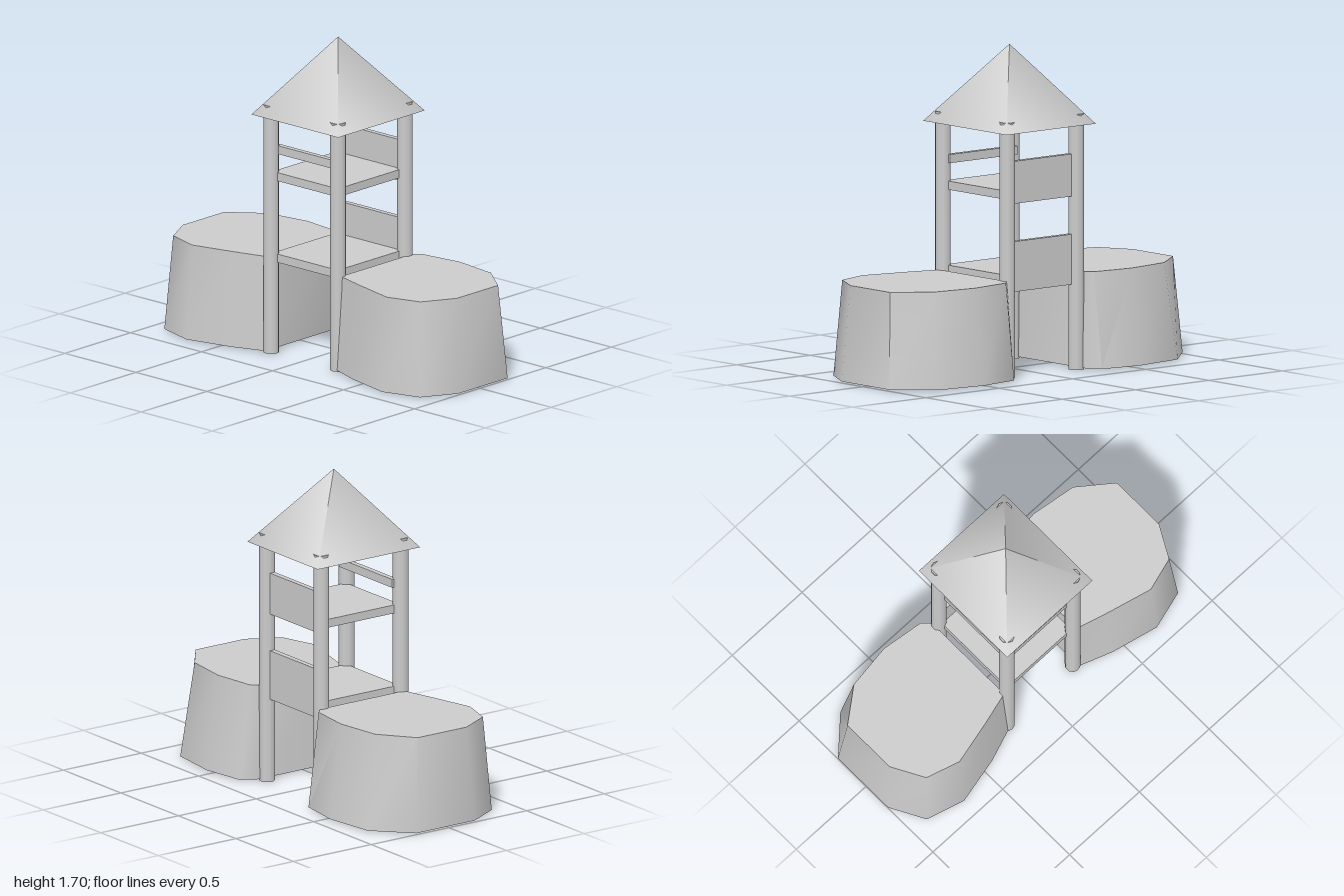
import * as THREE from 'three';
import { toCreasedNormals } from 'three/addons/utils/BufferGeometryUtils.js';

const grey = new THREE.MeshStandardMaterial({ color: 0xcccccc });
const greyThin = new THREE.MeshStandardMaterial({ color: 0xcccccc, side: THREE.DoubleSide });

// Mound outline, from the front inner corner round to the back: [bottom x, z, top x, z]
const MOUND = [
  [0.25, 0.285, 0.26, 0.26], [0.43, 0.35, 0.44, 0.31], [0.69, 0.41, 0.685, 0.37],
  [0.9, 0.35, 0.87, 0.315], [1, 0.165, 0.965, 0.14], [1, -0.21, 0.965, -0.175],
  [0.815, -0.385, 0.785, -0.315], [0.535, -0.42, 0.535, -0.35],
  [0.3, -0.385, 0.3, -0.32], [0.25, -0.3, 0.26, -0.28],
];

// Tapered mound with a flat top and an open underside
function moundGeometry(side) {
  const ring = side > 0 ? MOUND : [...MOUND].reverse();
  const n = ring.length;
  const positions = [];
  const index = [];
  for (const [bx, bz, tx, tz] of ring) {
    positions.push(side * bx, 0.008, bz, side * tx, 0.51, tz);
  }
  positions.push(side * 0.62, 0.51, 0);
  for (let i = 0; i < n; i++) {
    const a = 2 * i;
    const b = 2 * ((i + 1) % n);
    index.push(a, b, b + 1, a, b + 1, a + 1, 2 * n, a + 1, b + 1);
  }
  const geometry = new THREE.BufferGeometry();
  geometry.setAttribute('position', new THREE.Float32BufferAttribute(positions, 3));
  geometry.setIndex(index);
  return toCreasedNormals(geometry, 0.9);
}

export function createModel() {
  const group = new THREE.Group();
  const add = (name, geometry, material = grey) => {
    const mesh = new THREE.Mesh(geometry, material);
    mesh.name = name;
    group.add(mesh);
    return mesh;
  };
  const addBox = (name, width, y0, y1, depth, z) =>
    add(name, new THREE.BoxGeometry(width, y1 - y0, depth)).position.set(0, (y0 + y1) / 2, z);

  // Mounds on both sides
  add('leftMound', moundGeometry(1), greyThin);
  add('rightMound', moundGeometry(-1), greyThin);

  // Four corner posts, tips just piercing the roof
  const post = new THREE.CylinderGeometry(0.041, 0.041, 1.338, 10);
  for (const x of [-1, 1]) {
    for (const z of [-1, 1]) {
      add(`${z > 0 ? 'front' : 'back'}${x > 0 ? 'Left' : 'Right'}Post`, post)
        .position.set(x * 0.235, 0.669, z * 0.255);
    }
  }

  // Two decks, each with a back panel
  addBox('lowerDeck', 0.46, 0.49, 0.535, 0.5, 0);
  addBox('upperDeck', 0.46, 0.93, 0.975, 0.5, 0);
  addBox('lowerBackPanel', 0.46, 0.447, 0.71, 0.03, -0.25);
  addBox('upperBackPanel', 0.46, 0.908, 1.13, 0.03, -0.25);

  // Front rail above the upper deck
  addBox('frontRail', 0.46, 1.07, 1.115, 0.03, 0.22);

  // Hollow pyramid roof
  const roof = new THREE.ConeGeometry(Math.SQRT2, 0.41, 4, 1, true);
  roof.rotateY(Math.PI / 4).scale(0.305, 1, 0.33);
  add('roof', roof, greyThin).position.y = 1.49;

  return group;
}
